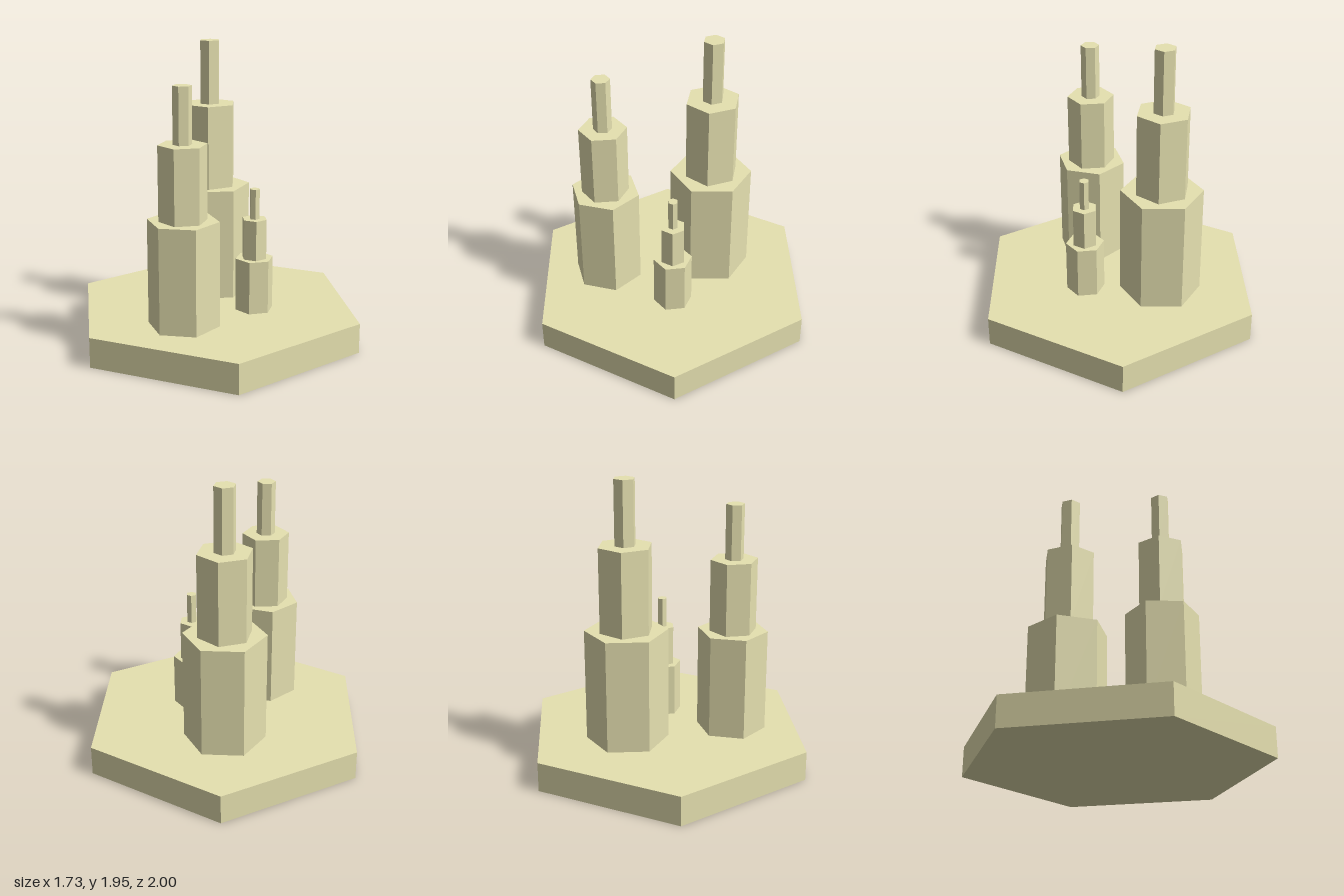
import * as THREE from 'three';

const material = new THREE.MeshStandardMaterial({ color: 0xe6e1b0, flatShading: true });

// Upright six-sided prism between two heights, turned by degrees about its axis
function hexPrism(name, radius, bottom, top, degrees = 0) {
  const mesh = new THREE.Mesh(new THREE.CylinderGeometry(radius, radius, top - bottom, 6), material);
  mesh.name = name;
  mesh.position.y = (bottom + top) / 2;
  mesh.rotation.y = THREE.MathUtils.degToRad(degrees);
  return mesh;
}

const BASE_TOP = 0.2;

// Each tier is [radius, top height, turn in degrees], from the bottom up
const towers = [
  { name: 'tallTower', x: -0.28, z: -0.158, tiers: [[0.272, 0.958, 28.5], [0.182, 1.522, 49.3], [0.071, 1.947, 49.5]] },
  { name: 'mediumTower', x: 0.177, z: 0.4, tiers: [[0.233, 0.897, 13.5], [0.157, 1.383, 34.7], [0.061, 1.747, 33]] },
  { name: 'smallTower', x: 0.227, z: -0.141, tiers: [[0.128, 0.557, 36.5], [0.085, 0.825, -2], [0.034, 1.026, 0]] },
];
const tierNames = ['lowerTier', 'middleTier', 'spire'];

export function createModel() {
  const model = new THREE.Group();
  model.name = 'hexTowers';

  // Hexagonal ground slab
  model.add(hexPrism('base', 1, 0, BASE_TOP));

  // Stepped towers
  for (const { name, x, z, tiers } of towers) {
    const tower = new THREE.Group();
    tower.name = name;
    tower.position.set(x, 0, z);
    let bottom = BASE_TOP;
    tiers.forEach(([radius, top, turn], i) => {
      tower.add(hexPrism(tierNames[i], radius, bottom, top, turn));
      bottom = top;
    });
    model.add(tower);
  }
  return model;
}
